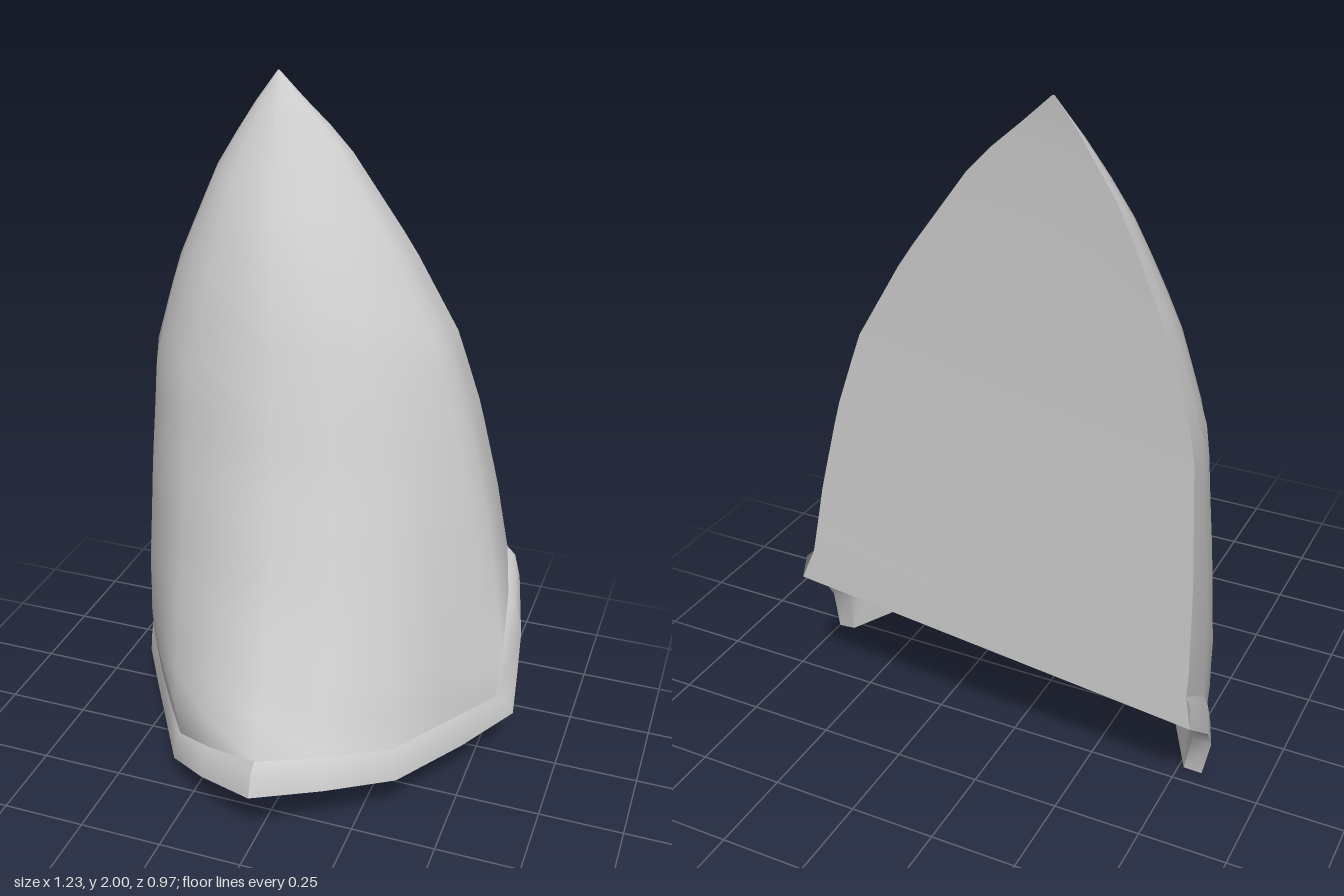
import * as THREE from 'three';
import { toCreasedNormals } from 'three/addons/utils/BufferGeometryUtils.js';

const material = new THREE.MeshStandardMaterial({ color: 0xcccccc, side: THREE.DoubleSide });

// Guide curves, each a list of [y, x, z] from low to high
const LEFT = [[0, -0.55, -0.44], [0.3, -0.58, -0.44], [0.5, -0.597, -0.44], [0.8, -0.6, -0.445], [1.18, -0.59, -0.455],
  [1.45, -0.52, -0.46], [1.75, -0.4, -0.47], [1.88, -0.32, -0.475], [1.98, -0.26, -0.48], [2, -0.24, -0.485]];
const RIGHT = [[0, 0.55, -0.47], [0.25, 0.54, -0.47], [0.6, 0.5, -0.47], [0.83, 0.46, -0.465], [1.08, 0.4, -0.46],
  [1.3, 0.325, -0.455], [1.54, 0.18, -0.46], [1.82, -0.03, -0.47], [1.98, -0.215, -0.48], [2, -0.235, -0.485]];
const RIDGE = [[0, 0.02, 0.43], [0.32, 0.02, 0.43], [0.4, 0.01, 0.36], [0.67, -0.02, 0.2], [1, -0.065, 0.05],
  [1.14, -0.085, 0], [1.4, -0.12, -0.1], [1.6, -0.155, -0.2], [1.8, -0.195, -0.34], [2, -0.238, -0.485]];

// Half section from ridge to back edge: fractions of [width, depth]
const SECTION = [[0, 0], [0.32, 0.1], [0.6, 0.24], [0.8, 0.42], [0.94, 0.62], [0.99, 0.75], [1, 0.87], [1, 1]];

// Upper and lower lines of the rim, from left back round the front to right back
const RIM_TOP = [[-0.595, 0.45, -0.44], [-0.6, 0.37, -0.31], [-0.57, 0.22, -0.19], [-0.53, 0.1, -0.15], [-0.4, 0.14, 0.06],
  [-0.29, 0.2, 0.24], [-0.16, 0.25, 0.33], [0.02, 0.32, 0.43], [0.19, 0.305, 0.33], [0.35, 0.28, 0.2],
  [0.46, 0.265, 0], [0.56, 0.25, -0.19], [0.57, 0.39, -0.2], [0.55, 0.53, -0.33], [0.51, 0.61, -0.47]];
const RIM_LOW = [[-0.61, 0.35, -0.44], [-0.62, 0.25, -0.32], [-0.6, 0.13, -0.22], [-0.57, 0, -0.2], [-0.43, 0.05, 0.04],
  [-0.31, 0.11, 0.25], [-0.17, 0.17, 0.37], [0.02, 0.23, 0.48], [0.2, 0.22, 0.37], [0.37, 0.19, 0.22],
  [0.5, 0.17, -0.02], [0.61, 0.17, -0.23], [0.61, 0.3, -0.25], [0.6, 0.4, -0.32], [0.555, 0.51, -0.47]];

const lerp = THREE.MathUtils.lerp;

// Point of a guide curve at height y
function at(curve, y) {
  let i = 1;
  while (i < curve.length - 1 && curve[i][0] < y) i++;
  const a = curve[i - 1], b = curve[i];
  const k = THREE.MathUtils.clamp((y - a[0]) / (b[0] - a[0]), 0, 1);
  return [lerp(a[1], b[1], k), lerp(a[2], b[2], k)];
}

// Horn surface at column c (7 is the ridge) and height y
function surface(c, y) {
  const ridge = at(RIDGE, y), edge = at(c < 7 ? LEFT : RIGHT, y);
  const [fx, fz] = SECTION[Math.abs(c - 7)];
  return [lerp(ridge[0], edge[0], fx), y, lerp(ridge[1], edge[1], fz)];
}

// Surface through rows of points
function loft(rows) {
  const n = rows[0].length, index = [];
  for (let r = 0; r < rows.length - 1; r++) {
    for (let c = 0; c < n - 1; c++) {
      const a = r * n + c;
      index.push(a, a + 1, a + n, a + 1, a + n + 1, a + n);
    }
  }
  const geometry = new THREE.BufferGeometry();
  geometry.setAttribute('position', new THREE.Float32BufferAttribute(rows.flat(2), 3));
  geometry.setIndex(index);
  geometry.computeVertexNormals();
  return geometry;
}

// Moves a rim point towards the hollow middle
const inward = (p, k) => [p[0] * k, p[1] + 0.01, -0.3 + (p[2] + 0.3) * k];

export function createModel() {
  const group = new THREE.Group();
  const add = (name, geometry) => {
    const mesh = new THREE.Mesh(geometry, material);
    mesh.name = name;
    group.add(mesh);
  };

  // Ridged front shell, flaring at its foot to meet the rim
  const rows = [];
  const STEPS = 20;
  for (let r = 0; r <= STEPS; r++) {
    const t = r / STEPS;
    rows.push(RIM_TOP.map((base, c) => {
      const p = surface(c, lerp(base[1], 2, t)), foot = surface(c, base[1]);
      const flare = (1 - t) ** 4;
      return p.map((v, i) => v + (base[i] - foot[i]) * flare);
    }));
  }
  add('frontShell', loft(rows));

  // Flat back panel between the two rear edges, ending in a sloping lower edge
  const panel = [[RIM_LOW[14], RIM_LOW[0]], ...rows.map((row) => [row[14], row[0]])];
  add('backPanel', loft(panel));

  // Thick rim round the open foot and side notches
  const lip = RIM_TOP.map((p, i) => {
    const q = RIM_LOW[i];
    return [lerp(p[0], q[0], 0.45) * 1.01, lerp(p[1], q[1], 0.25), lerp(p[2], q[2], 0.6)];
  });
  const rim = loft([
    RIM_TOP.map((p) => inward(p, 0.95)),
    RIM_LOW.map((p) => inward(p, 0.91)),
    RIM_LOW,
    lip,
    RIM_TOP,
  ]);
  add('rim', toCreasedNormals(rim, 0.9));

  return group;
}
